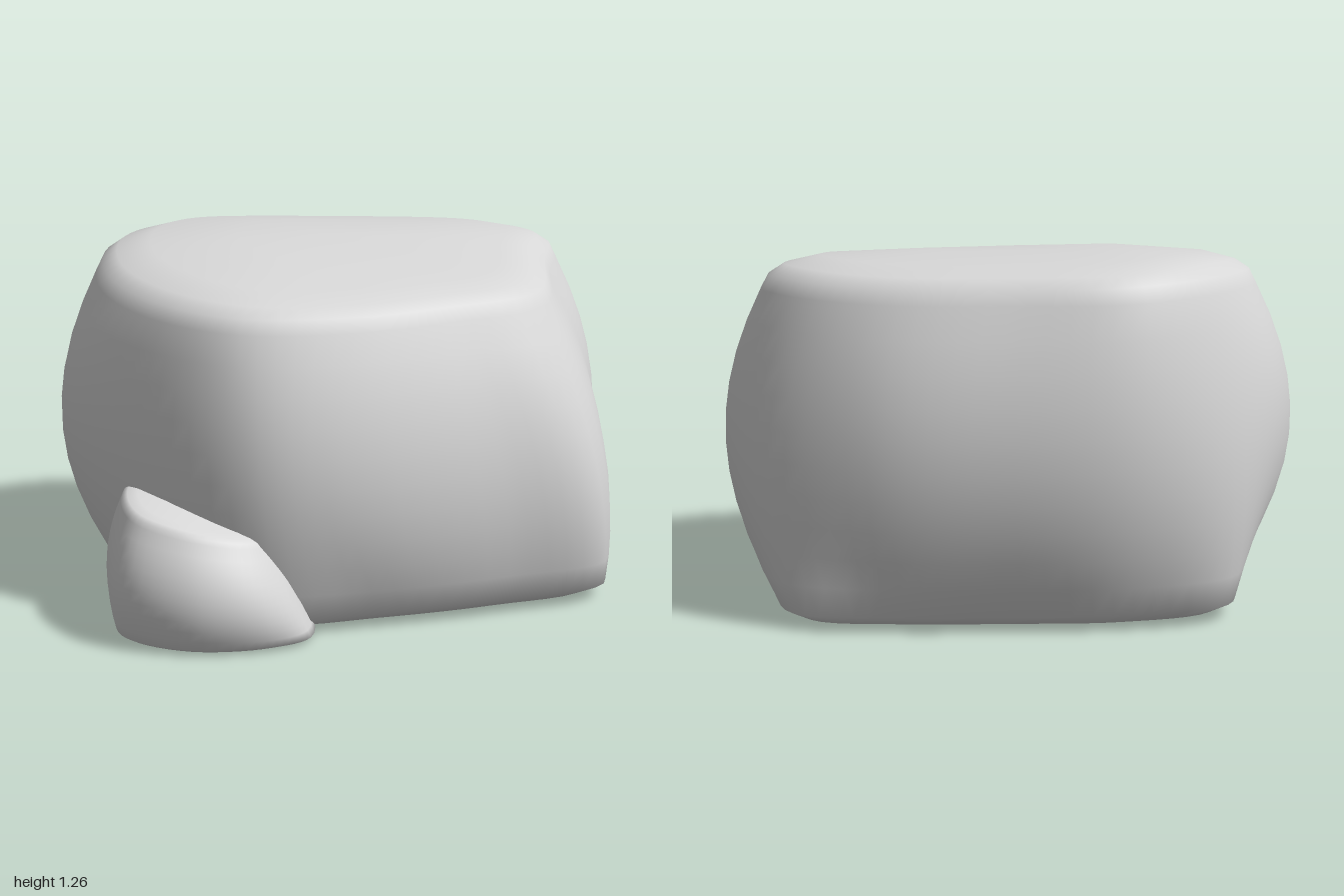
import * as THREE from 'three';

// Closed smooth outline through flat [x, z, x, z, ...] pairs
function outline(flat, segments) {
  const pts = [];
  for (let i = 0; i < flat.length; i += 2) pts.push(new THREE.Vector3(flat[i], 0, flat[i + 1]));
  const curve = new THREE.CatmullRomCurve3(pts, true);
  return Array.from({ length: segments }, (_, i) => curve.getPoint(i / segments));
}

// Slope that starts gradually around d = 0
const soft = (d) => (d + Math.hypot(d, 0.15)) / 2;

// Rounded stone lofted from base, belly and crown outlines; height(x, z) shapes the top
function stone(name, base, belly, crown, height, material, segments) {
  const [b, m, c] = [base, belly, crown].map((o) => outline(o, segments));
  const centre = (o) => o.reduce((s, p) => s.add(p), new THREE.Vector3()).divideScalar(o.length);
  // [blend from base (0) to crown (1), inset scale, height fraction]
  const rings = [[0, 0.4, 0], [0, 0.76, 0], [0, 0.92, 0.016], [0, 1, 0.047]];
  for (let i = 1; i < 10; i++) rings.push([i / 10, 1, 0.047 + 0.88 * i / 10]);
  rings.push([1, 1, 0.927], [1, 0.97, 0.966], [1, 0.91, 0.988], [1, 0.77, 1], [1, 0.4, 1]);

  const pos = [], index = [];
  for (const [t, scale, level] of rings) {
    // Quadratic bulge through the three outlines
    const wb = (1 - t) * (1 - 2 * t), wm = 4 * t * (1 - t), wc = t * (2 * t - 1);
    const ring = b.map((p, i) => p.clone().multiplyScalar(wb).addScaledVector(m[i], wm).addScaledVector(c[i], wc));
    const mid = centre(ring);
    for (const p of ring) {
      p.sub(mid).multiplyScalar(scale).add(mid);
      pos.push(p.x, level * height(p.x, p.z), p.z);
    }
  }
  for (let r = 0; r < rings.length - 1; r++) {
    for (let i = 0; i < segments; i++) {
      const j = (i + 1) % segments;
      const a = r * segments + i, d = r * segments + j;
      index.push(a, d, d + segments, a, d + segments, a + segments);
    }
  }
  // Close the underside and the top
  const lo = centre(b), hi = centre(c);
  const bottom = pos.length / 3, top = bottom + 1;
  pos.push(lo.x, 0, lo.z, hi.x, height(hi.x, hi.z), hi.z);
  const last = (rings.length - 1) * segments;
  for (let i = 0; i < segments; i++) {
    const j = (i + 1) % segments;
    index.push(bottom, j, i, top, last + i, last + j);
  }
  const geometry = new THREE.BufferGeometry();
  geometry.setAttribute('position', new THREE.Float32BufferAttribute(pos, 3));
  geometry.setIndex(index);
  geometry.computeVertexNormals();
  const mesh = new THREE.Mesh(geometry, material);
  mesh.name = name;
  return mesh;
}

export function createModel() {
  const group = new THREE.Group();
  group.name = 'rocks';
  const grey = new THREE.MeshStandardMaterial({ color: 0xd8d8d8 });
  grey.name = 'stone grey';

  // Large block-shaped boulder, its top sloping down to the front
  group.add(stone('boulder',
    [0.88, 0.45, 0.86, 0.02, 0.83, -0.3, 0.73, -0.64, 0.4, -0.69, 0, -0.68, -0.42, -0.65,
      -0.75, -0.52, -0.78, -0.2, -0.78, 0.12, -0.63, 0.46, -0.35, 0.66, 0.05, 0.64, 0.5, 0.57],
    [0.81, 0.54, 0.95, 0.02, 1, -0.28, 0.86, -0.57, 0.46, -0.8, 0.05, -0.855, -0.4, -0.815,
      -0.75, -0.62, -0.94, -0.33, -0.99, 0.05, -0.75, 0.47, -0.42, 0.74, -0.1, 0.78, 0.45, 0.66],
    [0.64, 0.42, 0.77, 0.02, 0.86, -0.31, 0.71, -0.56, 0.42, -0.71, 0, -0.76, -0.4, -0.76,
      -0.66, -0.59, -0.83, -0.3, -0.85, 0.1, -0.67, 0.48, -0.43, 0.67, -0.05, 0.67, 0.3, 0.57],
    (x, z) => 1.27 - 0.03 * x - 0.185 * soft(z + 0.15) - 0.17 * soft(-0.45 - z)
      - 0.18 * soft(-0.5 - x) - 0.13 * soft(x - 0.7),
    grey, 84));

  // Small rock leaning against the front corner
  group.add(stone('smallRock',
    [-0.21, 0.73, -0.21, 0.4, -0.5, 0.2, -0.8, 0.25, -0.85, 0.5, -0.82, 0.66, -0.62, 0.8, -0.36, 0.81],
    [-0.27, 0.74, -0.26, 0.4, -0.5, 0.2, -0.82, 0.25, -0.87, 0.5, -0.83, 0.71, -0.62, 0.84, -0.4, 0.84],
    [-0.32, 0.66, -0.32, 0.4, -0.5, 0.26, -0.76, 0.3, -0.82, 0.48, -0.78, 0.67, -0.62, 0.77, -0.42, 0.76],
    (x, z) => 0.5 - 0.25 * soft(x + 0.7) - 0.2 * soft(z - 0.5),
    grey, 48));

  return group;
}
